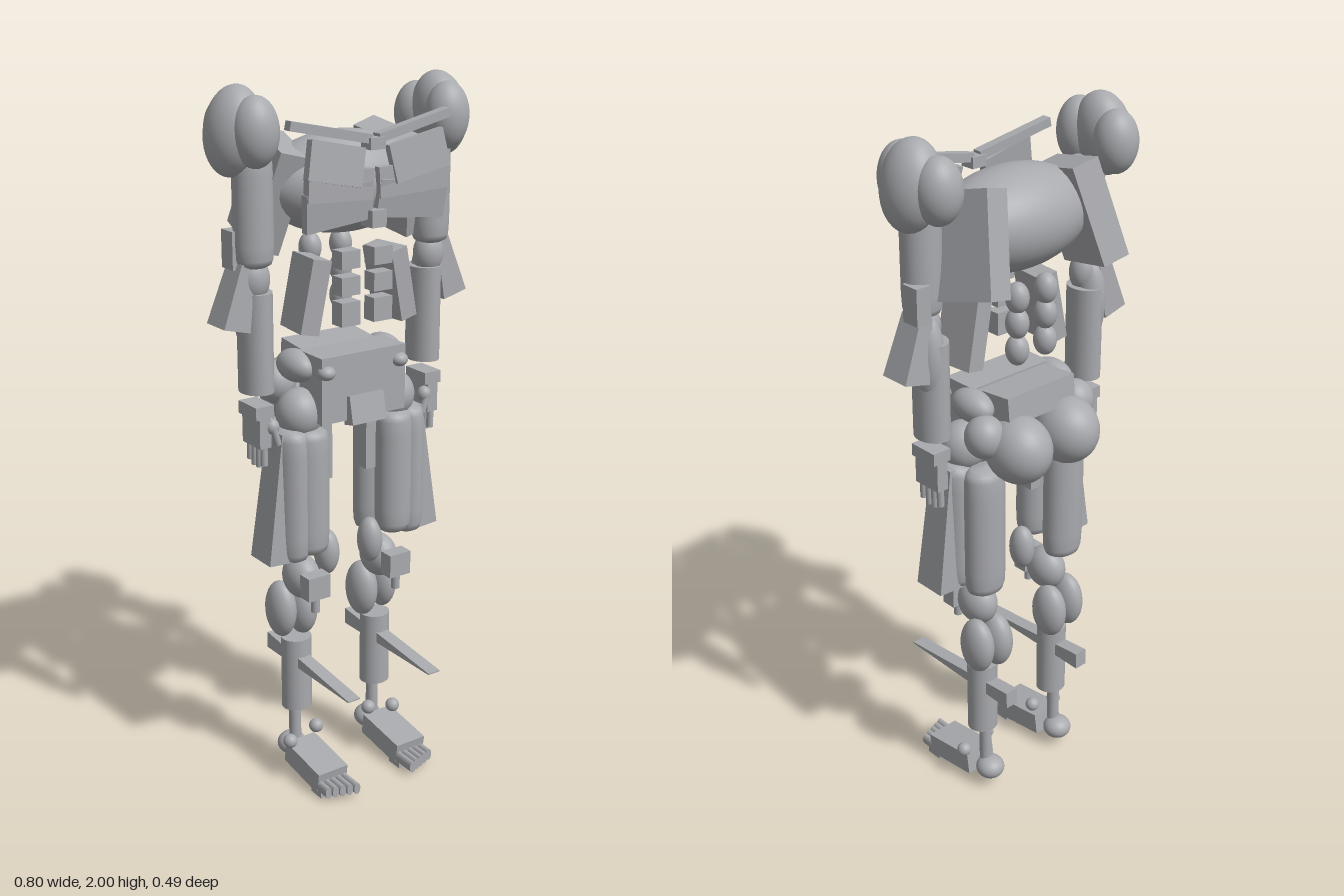
import * as THREE from 'three';

export function createModel() {
  const model = new THREE.Group();
  const grey = new THREE.MeshStandardMaterial({ color: 0xa9aaae });
  grey.name = 'plain grey';

  // Unit shapes, scaled to full width, height and depth
  const cube = new THREE.BoxGeometry(1, 1, 1);
  const ball = new THREE.SphereGeometry(0.5, 32, 20);
  const tube = new THREE.CylinderGeometry(0.5, 0.5, 1, 28);
  const muscle = new THREE.LatheGeometry(
    [[0, -0.5], [0.3, -0.49], [0.43, -0.465], [0.48, -0.42], [0.5, -0.3], [0.5, 0.3],
      [0.48, 0.42], [0.43, 0.465], [0.3, 0.49], [0, 0.5]].map(p => new THREE.Vector2(...p)), 28);

  // Box whose top is scaled by (tx, tz)
  function taper(tx, tz) {
    const g = new THREE.BoxGeometry(1, 1, 1);
    const p = g.attributes.position;
    for (let i = 0; i < p.count; i++) {
      if (p.getY(i) > 0) { p.setX(i, p.getX(i) * tx); p.setZ(i, p.getZ(i) * tz); }
    }
    g.computeVertexNormals();
    return g;
  }
  const flare = taper(0.5, 0.8);

  // Wedge with its point at +z
  const spike = new THREE.BoxGeometry(1, 1, 1);
  const sp = spike.attributes.position;
  for (let i = 0; i < sp.count; i++) if (sp.getZ(i) > 0) sp.setY(i, sp.getY(i) * 0.08);
  spike.computeVertexNormals();

  function part(name, geo, pos, size, rot = [0, 0, 0], s = 1) {
    const m = new THREE.Mesh(geo, grey);
    m.name = name;
    m.position.set(pos[0] * s, pos[1], pos[2]);
    m.scale.set(...size);
    m.rotation.set(rot[0], rot[1] * s, rot[2] * s);
    model.add(m);
  }
  function pair(name, geo, pos, size, rot) {
    part(name + 'Left', geo, pos, size, rot, 1);
    part(name + 'Right', geo, pos, size, rot, -1);
  }

  // Chest
  part('ribcage', ball, [0, 1.735, -0.025], [0.48, 0.27, 0.29]);
  part('collarKnob', cube, [0, 1.85, 0.12], [0.046, 0.03, 0.045]);
  part('sternum', cube, [0, 1.66, 0.125], [0.045, 0.045, 0.05]);
  pair('collarBone', cube, [0.13, 1.885, 0.112], [0.24, 0.024, 0.028], [0, 0.06, 0.2]);
  pair('upperChestPlate', cube, [0.13, 1.81, 0.138], [0.17, 0.1, 0.022], [-0.1, -0.06, 0.2]);
  pair('middleChestPlate', cube, [0.115, 1.755, 0.135], [0.21, 0.08, 0.022], [0, -0.08, 0.06]);
  pair('lowerChestPlate', cube, [0.115, 1.7, 0.128], [0.21, 0.1, 0.022], [0.12, -0.06, -0.08]);
  pair('sideBackPlate', cube, [0.198, 1.72, -0.075], [0.08, 0.27, 0.2], [0.23, 0.22, 0.2]);

  // Shoulders and arms
  pair('shoulder', ball, [0.325, 1.888, -0.025], [0.145, 0.23, 0.165], [0, 0, 0.17]);
  pair('frontShoulder', ball, [0.3, 1.89, 0.04], [0.125, 0.18, 0.115]);
  pair('rearShoulder', ball, [0.3, 1.885, -0.095], [0.125, 0.17, 0.12]);
  pair('upperArm', muscle, [0.285, 1.69, -0.005], [0.108, 0.3, 0.1]);
  pair('elbowBlock', cube, [0.325, 1.59, -0.033], [0.045, 0.1, 0.055]);
  pair('elbow', ball, [0.285, 1.51, -0.01], [0.09, 0.12, 0.08]);
  pair('forearmFlare', flare, [0.335, 1.47, -0.02], [0.08, 0.17, 0.09], [0, 0, 0.25]);
  pair('forearmMuscle', ball, [0.29, 1.43, -0.03], [0.08, 0.24, 0.09]);
  pair('forearm', tube, [0.277, 1.34, -0.02], [0.09, 0.27, 0.11]);

  // Hands
  pair('wrist', cube, [0.28, 1.155, -0.017], [0.056, 0.035, 0.09]);
  pair('palm', cube, [0.28, 1.1, -0.017], [0.035, 0.09, 0.09]);
  pair('thumbBase', ball, [0.255, 1.11, 0.02], [0.04, 0.045, 0.04]);
  pair('thumb', tube, [0.25, 1.085, 0.03], [0.02, 0.05, 0.02], [0, 0, -0.3]);
  for (let i = 0; i < 4; i++) {
    const length = 0.07 - Math.abs(i - 1.5) * 0.01;
    pair('finger', tube, [0.28, 1.06 - length / 2, 0.018 - i * 0.023], [0.02, length, 0.02]);
  }

  // Waist
  for (const [y, h] of [[1.55, 0.048], [1.48, 0.05], [1.405, 0.065]]) {
    pair('abdominalBlock', cube, [0.052, y, 0.075], [0.06, h, 0.045]);
    pair('backMuscle', ball, [0.05, y, -0.1], [0.062, 0.085, 0.065]);
  }
  pair('waistPlate', cube, [0.137, 1.455, 0.01], [0.055, 0.2, 0.12], [0, 0.1, 0.2]);

  // Pelvis
  part('pelvis', cube, [0, 1.2, 0.03], [0.275, 0.185, 0.11]);
  part('pelvisBack', cube, [0, 1.25, -0.06], [0.24, 0.08, 0.17], [0.1, 0, 0]);
  part('pubicPlate', cube, [0, 1.135, 0.085], [0.112, 0.08, 0.04], [-0.2, 0, 0]);
  pair('hipKnob', ball, [0.12, 1.25, 0.08], [0.05, 0.04, 0.05]);
  pair('hipCrest', ball, [0.145, 1.25, -0.03], [0.09, 0.09, 0.14]);
  pair('hip', ball, [0.155, 1.125, 0], [0.13, 0.14, 0.13]);
  pair('sideHip', ball, [0.165, 1.19, -0.1], [0.11, 0.12, 0.11]);
  pair('buttock', ball, [0.088, 1.145, -0.148], [0.175, 0.19, 0.195]);

  // Thighs
  pair('frontThigh', muscle, [0.142, 0.905, 0.03], [0.11, 0.37, 0.1]);
  pair('outerThigh', flare, [0.222, 0.9, 0], [0.105, 0.37, 0.1], [0, 0, 0.07]);
  pair('sideThigh', muscle, [0.195, 0.9, 0.005], [0.1, 0.39, 0.14]);
  pair('rearThigh', muscle, [0.15, 0.89, -0.08], [0.125, 0.4, 0.1]);
  pair('innerThigh', cube, [0.075, 1.0, -0.015], [0.035, 0.16, 0.06]);

  // Knees and calves
  pair('innerKnee', ball, [0.075, 0.7, 0.01], [0.07, 0.135, 0.08]);
  pair('knee', ball, [0.135, 0.625, -0.03], [0.1, 0.13, 0.13]);
  pair('kneeCap', cube, [0.14, 0.625, 0.05], [0.072, 0.07, 0.045]);
  pair('kneeTendon', tube, [0.14, 0.59, 0.05], [0.025, 0.09, 0.025]);
  pair('outerCalf', ball, [0.177, 0.515, -0.075], [0.08, 0.17, 0.115]);
  pair('innerCalf', ball, [0.107, 0.505, -0.075], [0.085, 0.17, 0.115]);
  pair('shin', tube, [0.14, 0.315, -0.053], [0.09, 0.225, 0.085]);
  pair('shinSpike', spike, [0.14, 0.357, 0.03], [0.04, 0.05, 0.42], [0.04, 0, 0]);

  // Ankles and feet
  pair('ankleRod', tube, [0.14, 0.15, -0.065], [0.036, 0.13, 0.036]);
  pair('innerAnkle', ball, [0.095, 0.13, -0.02], [0.042, 0.042, 0.042]);
  pair('outerAnkle', ball, [0.186, 0.108, -0.02], [0.042, 0.042, 0.042]);
  pair('heel', ball, [0.14, 0.058, -0.085], [0.085, 0.068, 0.085]);
  pair('foot', cube, [0.14, 0.052, 0.045], [0.1, 0.065, 0.175], [0.14, 0, 0]);
  for (let i = 0; i < 5; i++) {
    const length = 0.085 - i * 0.007;
    pair('toe', tube, [0.1 + i * 0.02, 0.03, 0.115 + length / 2], [0.021, length, 0.036], [Math.PI / 2, 0, 0]);
  }
  pair('toeBase', cube, [0.14, 0.018, 0.12], [0.098, 0.035, 0.05]);

  // Stand on the ground
  const box = new THREE.Box3().setFromObject(model);
  for (const m of model.children) m.position.y -= box.min.y;
  return model;
}
